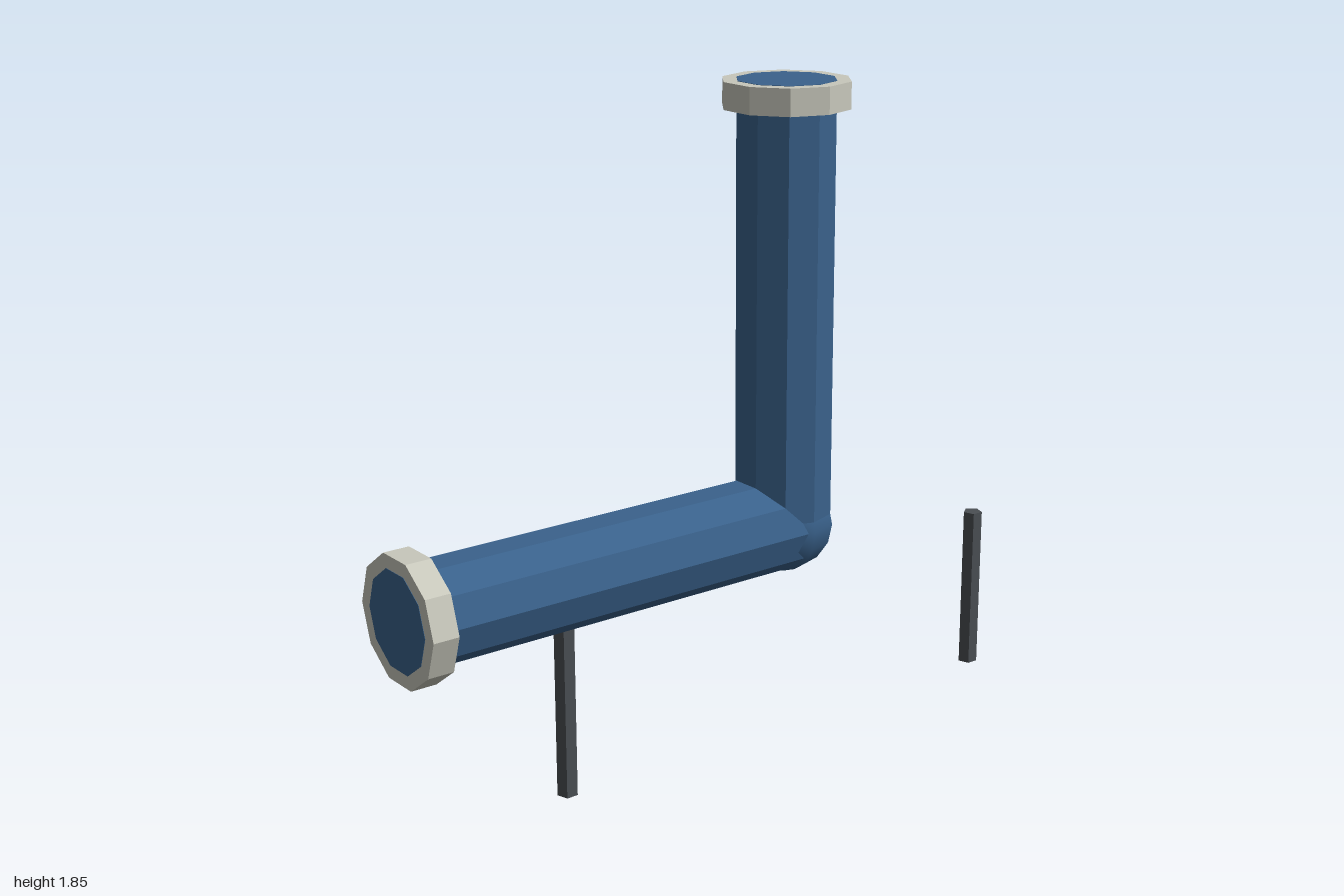
import * as THREE from 'three';

export function createModel() {
  const flat = (name, color) => {
    const m = new THREE.MeshStandardMaterial({ color });
    m.name = name;
    return m;
  };
  const blue = flat('pipe blue', 0x3a628c);
  const grey = flat('flange grey', 0xc8c8bc);
  const dark = flat('support dark grey', 0x4b4f54);

  const model = new THREE.Group();
  model.name = 'elbowPipe';

  const add = (name, geometry, material, x, y) => {
    const mesh = new THREE.Mesh(geometry, material);
    mesh.name = name;
    mesh.position.set(x, y, 0);
    model.add(mesh);
    return mesh;
  };

  // Faceted prism with one flat normal per side
  const prism = (radius, length, sides) => {
    const g = new THREE.CylinderGeometry(radius, radius, length, sides).toNonIndexed();
    g.computeVertexNormals();
    return g;
  };

  const elbowX = 0.23, elbowY = 0.62, topY = 1.85, endX = -1;
  const pipeR = 0.137, flangeR = 0.176, flangeT = 0.073;
  const proud = 0.001; // pipe ends sit just proud of the flanges

  // Vertical run and its flange
  const rise = topY + proud - elbowY;
  add('verticalPipe', prism(pipeR, rise, 10), blue, elbowX, elbowY + rise / 2);
  add('topFlange', prism(flangeR, flangeT, 10), grey, elbowX, topY - flangeT / 2);

  // Horizontal run and its flange
  const run = elbowX - endX + proud;
  add('horizontalPipe', prism(pipeR, run, 10).rotateZ(Math.PI / 2), blue, elbowX - run / 2, elbowY);
  add('endFlange', prism(flangeR, flangeT, 10).rotateZ(Math.PI / 2), grey, endX + flangeT / 2, elbowY);

  // Rounded elbow joint
  add('elbow', new THREE.SphereGeometry(0.143, 10, 8).rotateY(Math.PI / 2), blue, elbowX, elbowY);

  // Five-sided support posts
  const postH = 0.484;
  for (const [name, x] of [['rightPost', -0.508], ['leftPost', 0.973]]) {
    add(name, prism(0.0285, postH, 5).rotateY(Math.PI), dark, x, postH / 2);
  }

  return model;
}
